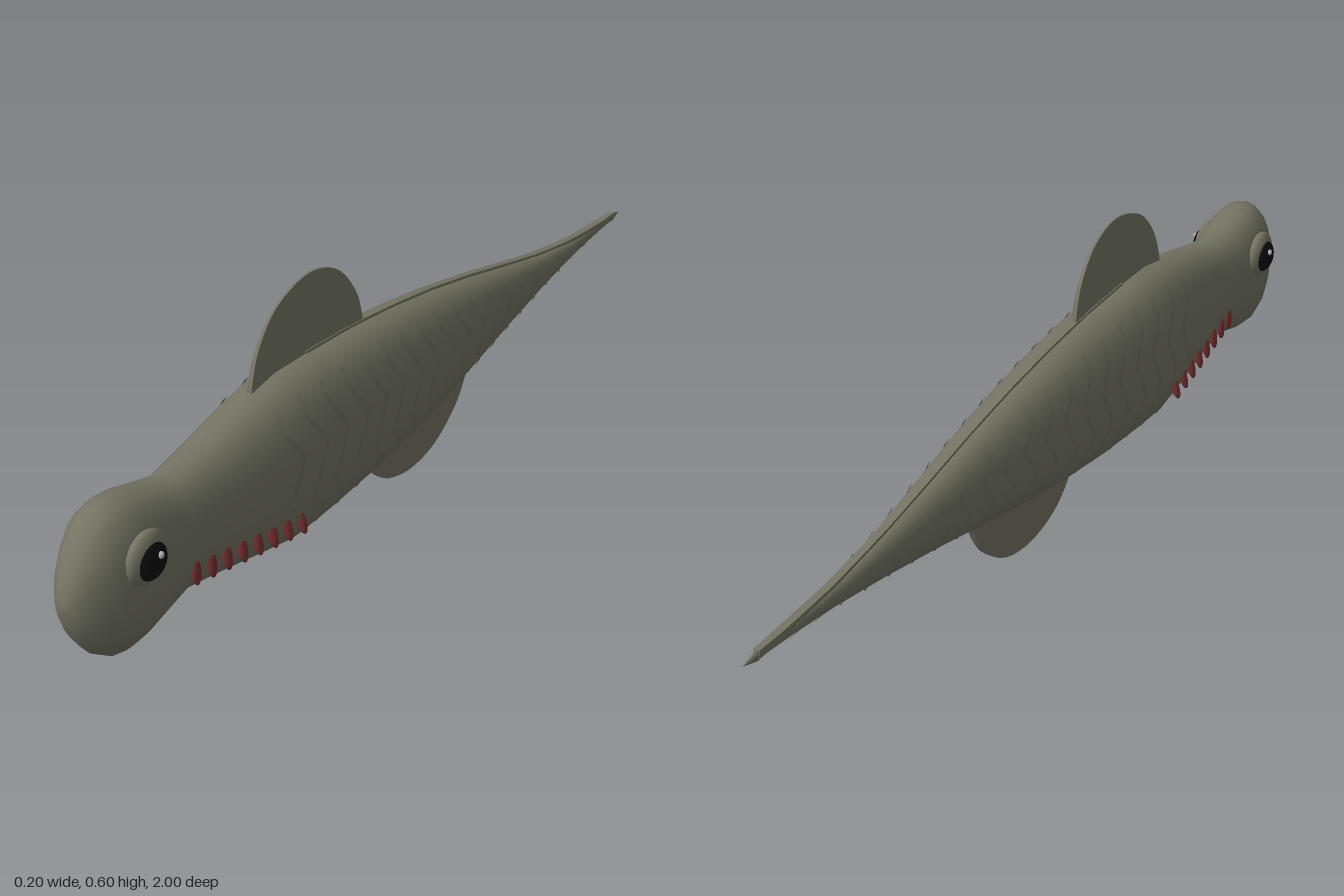
import * as THREE from 'three';

const mat = (name, color, double) => {
  const m = new THREE.MeshStandardMaterial({ color });
  m.name = name;
  if (double) m.side = THREE.DoubleSide;
  return m;
};

// Body stations from nose to tail: z, bottom y, top y, half width
const STATIONS = [
  [1, 0.25, 0.27, 0.008], [0.993, 0.215, 0.305, 0.025], [0.975, 0.178, 0.342, 0.042],
  [0.945, 0.136, 0.385, 0.058], [0.915, 0.115, 0.408, 0.068], [0.88, 0.107, 0.416, 0.074],
  [0.84, 0.112, 0.411, 0.075], [0.78, 0.126, 0.395, 0.069], [0.72, 0.141, 0.381, 0.065],
  [0.62, 0.124, 0.401, 0.073], [0.5, 0.1, 0.426, 0.084], [0.4, 0.08, 0.443, 0.09],
  [0.3, 0.083, 0.441, 0.09], [0.15, 0.092, 0.433, 0.087], [0, 0.108, 0.417, 0.08],
  [-0.15, 0.131, 0.395, 0.07], [-0.3, 0.16, 0.366, 0.057], [-0.45, 0.188, 0.332, 0.042],
  [-0.6, 0.213, 0.3, 0.027], [-0.75, 0.234, 0.277, 0.015], [-0.88, 0.246, 0.268, 0.008],
  [-0.97, 0.251, 0.265, 0.005],
];

// Interpolated section at any z
function section(z) {
  let i = 0;
  while (i < STATIONS.length - 2 && STATIONS[i + 1][0] > z) i++;
  const a = STATIONS[i], b = STATIONS[i + 1];
  const t = THREE.MathUtils.clamp((a[0] - z) / (a[0] - b[0]), 0, 1);
  const [lo, hi, w] = [1, 2, 3].map((k) => THREE.MathUtils.lerp(a[k], b[k], t));
  return { c: (lo + hi) / 2, h: (hi - lo) / 2, w };
}

// Point on the skin; the section is a slightly squared ellipse
function skin(z, angle) {
  const { c, h, w } = section(z);
  const sq = (v) => Math.sign(v) * Math.abs(v) ** 0.9;
  return [w * sq(Math.cos(angle)), c + h * sq(Math.sin(angle)), z];
}

// Surface through equal rows of points; closed rows wrap round and get end caps
function loft(rows, closed) {
  const n = rows[0].length, pos = rows.flat(2), idx = [];
  for (let i = 0; i < rows.length - 1; i++) {
    for (let j = 0; j < (closed ? n : n - 1); j++) {
      const a = i * n + j, b = i * n + ((j + 1) % n);
      idx.push(a, a + n, b, b, a + n, b + n);
    }
  }
  if (closed) {
    const e = (rows.length - 1) * n;
    for (let j = 1; j < n - 1; j++) idx.push(0, j, j + 1, e, e + j + 1, e + j);
  }
  const g = new THREE.BufferGeometry();
  g.setAttribute('position', new THREE.Float32BufferAttribute(pos, 3));
  g.setIndex(idx);
  g.computeVertexNormals();
  return g;
}

// Thin fin from a side outline of [z, y], thinner towards its tip
function finGeometry(outline, baseY, tipY) {
  const shape = new THREE.Shape();
  shape.moveTo(...outline[0]);
  shape.splineThru(outline.slice(1).map((p) => new THREE.Vector2(...p)));
  const g = new THREE.ExtrudeGeometry(shape, { depth: 0.012, bevelEnabled: false, curveSegments: 28 });
  g.translate(0, 0, -0.006).rotateY(-Math.PI / 2);
  const p = g.attributes.position;
  for (let i = 0; i < p.count; i++) {
    const t = THREE.MathUtils.clamp((p.getY(i) - baseY) / (tipY - baseY), 0, 1);
    p.setX(i, p.getX(i) * (1 - 0.65 * t));
  }
  g.computeVertexNormals();
  return g;
}

export function createModel() {
  const model = new THREE.Group();
  const skinMat = mat('olive skin', 0x737463);
  const foldMat = mat('olive muscle folds', 0x6e6f5e, true);
  const gillMat = mat('dark red gills', 0x7a3030);
  const pupilMat = mat('black eye', 0x0a0a0c);
  const glintMat = mat('eye glint', 0xb0b0b0);
  const add = (name, geo, m, parent = model) => {
    const mesh = new THREE.Mesh(geo, m);
    mesh.name = name;
    parent.add(mesh);
    return mesh;
  };

  // Head and body in one skin
  const SIDES = 20;
  const rings = STATIONS.map(([z]) =>
    Array.from({ length: SIDES }, (_, j) => skin(z, (j / SIDES) * Math.PI * 2)));
  add('body', loft(rings, true), skinMat);

  // Tail tip
  const tip = add('tailTip', new THREE.ConeGeometry(0.012, 0.04, 8), skinMat);
  tip.rotation.x = -Math.PI / 2;
  tip.scale.x = 0.5;
  tip.position.set(0, 0.258, -0.98);

  // Low ridge along the back
  const ridge = [];
  for (let z = 0.3; z > -0.98; z -= 0.063) {
    const s = section(z), top = s.c + s.h, w = Math.min(0.008, s.w + 0.001);
    ridge.push([[w, top - 0.012, z], [w, top + 0.004, z], [-w, top + 0.004, z], [-w, top - 0.012, z]]);
  }
  add('backRidge', loft(ridge, true).toNonIndexed(), skinMat).geometry.computeVertexNormals();

  // Fins
  add('dorsalFin', finGeometry([[0.47, 0.42], [0.467, 0.45], [0.44, 0.512], [0.38, 0.57], [0.28, 0.597],
    [0.19, 0.571], [0.13, 0.505], [0.108, 0.44], [0.107, 0.41]], 0.43, 0.597), skinMat);
  add('ventralFin', finGeometry([[0.1, 0.13], [0.09, 0.095], [0.055, 0.05], [0, 0.017], [-0.08, 0.002],
    [-0.17, 0.019], [-0.25, 0.075], [-0.295, 0.145], [-0.31, 0.18]], 0.11, 0), skinMat);

  for (const side of [1, -1]) {
    const label = side > 0 ? 'left' : 'right';

    // Eye: lid, ball and glint
    const eye = new THREE.Group();
    eye.name = label + 'Eye';
    eye.position.set(side * 0.068, 0.31, 0.86);
    model.add(eye);
    const ball = (name, r, depth, m, x, y, z) => {
      const b = add(name, new THREE.SphereGeometry(r, 24, 16), m, eye);
      b.scale.x = depth / r;
      b.position.set(side * x, y, z);
    };
    ball('eyelid', 0.052, 0.02, skinMat, 0, 0, 0);
    ball('eyeball', 0.037, 0.021, pupilMat, 0.009, -0.003, 0);
    ball('eyeGlint', 0.007, 0.006, glintMat, 0.027, 0.011, -0.006);

    // Row of gill slits
    const gills = new THREE.Group();
    gills.name = label + 'Gills';
    model.add(gills);
    for (let i = 0; i < 8; i++) {
      const z = 0.72 - i * 0.0422, y = 0.205 - i * 0.006;
      const s = section(z);
      const p = skin(z, Math.asin((y - s.c) / s.h));
      const g = add('gillSlit', new THREE.SphereGeometry(1, 12, 10), gillMat, gills);
      g.scale.set(0.008, 0.032, 0.0125);
      g.position.set(side * p[0], y, z);
      g.rotation.z = side * (0.12 + i * 0.04);
    }

    // Zigzag muscle folds lying just off the flank
    const folds = new THREE.Group();
    folds.name = label + 'MuscleFolds';
    model.add(folds);
    const zig = [[0.95, 0], [0.6, 0], [0.2, -0.045], [-0.25, 0], [-0.6, -0.045], [-0.85, -0.04]];
    for (let i = 0; i < 20; i++) {
      const z0 = 0.47 - i * 0.07;
      const size = 0.45 + 0.55 * section(z0).h / 0.18;
      const rows = [];
      for (let k = 0; k < zig.length - 1; k++) {
        for (let q = 0; q < (k === zig.length - 2 ? 4 : 3); q++) {
          const a = THREE.MathUtils.lerp(zig[k][0], zig[k + 1][0], q / 3);
          const z = z0 + size * THREE.MathUtils.lerp(zig[k][1], zig[k + 1][1], q / 3);
          rows.push([0.006, -0.006].map((d) => {
            const p = skin(z + d * size, a);
            return [side * (p[0] + 0.004), p[1], p[2]];
          }));
        }
      }
      add('muscleFold', loft(rows, false), foldMat, folds);
    }
  }
  return model;
}
